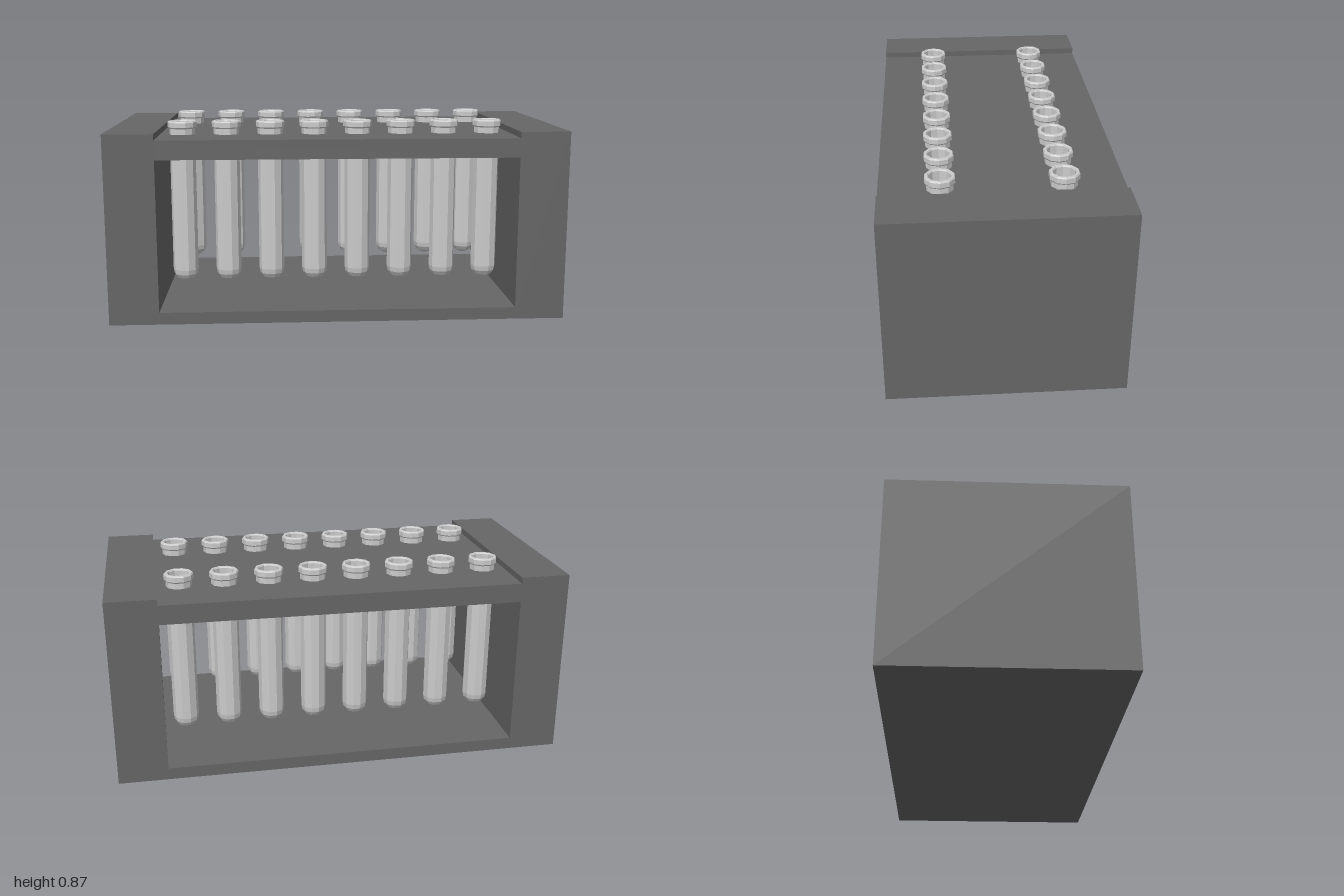
import * as THREE from 'three';

const SIDES = 10;
const COLUMNS = 8;
const SPACING = 0.196;
const ROW_Z = 0.25;
const TUBE_R = 0.057;

const rackMaterial = new THREE.MeshStandardMaterial({ color: 0x666666, flatShading: true });
const glassMaterial = new THREE.MeshStandardMaterial({ color: 0xcccccc, flatShading: true, side: THREE.DoubleSide });

// Calls fn(x, z) at every tube position
function eachTube(fn) {
  for (const z of [ROW_Z, -ROW_Z])
    for (let i = 0; i < COLUMNS; i++) fn((i - (COLUMNS - 1) / 2) * SPACING, z);
}

function addBox(parent, name, w, h, d, x, y) {
  const mesh = new THREE.Mesh(new THREE.BoxGeometry(w, h, d), rackMaterial);
  mesh.name = name;
  mesh.position.set(x, y, 0);
  parent.add(mesh);
}

// Shelf plate with a ten-sided hole for each tube
function shelfGeometry(width, bottom, top) {
  const shape = new THREE.Shape();
  shape.moveTo(-width / 2, -0.5).lineTo(width / 2, -0.5).lineTo(width / 2, 0.5).lineTo(-width / 2, 0.5).closePath();
  eachTube((x, z) => {
    const points = [];
    for (let i = 0; i < SIDES; i++) {
      const a = (-i / SIDES) * Math.PI * 2;
      points.push(new THREE.Vector2(x + TUBE_R * Math.cos(a), z + TUBE_R * Math.sin(a)));
    }
    shape.holes.push(new THREE.Path(points));
  });
  const geometry = new THREE.ExtrudeGeometry(shape, { depth: top - bottom, bevelEnabled: false });
  return geometry.rotateX(-Math.PI / 2).translate(0, bottom, 0);
}

// Hollow tube: round bottom, straight wall, bevelled rim, then down the inside
function tubeGeometry() {
  const bottom = 0.132, inner = 0.047;
  const profile = [];
  const bowl = (r, reverse) => {
    for (let i = 0; i <= 4; i++) {
      const a = ((reverse ? 4 - i : i) / 4) * Math.PI / 2;
      profile.push(new THREE.Vector2(r * Math.sin(a), bottom + TUBE_R - r * Math.cos(a)));
    }
  };
  bowl(TUBE_R, false);
  for (const [r, y] of [[TUBE_R, 0.832], [0.06, 0.832], [0.0645, 0.838], [0.0645, 0.859], [0.06, 0.865], [0.051, 0.865], [inner, 0.859]])
    profile.push(new THREE.Vector2(r, y));
  bowl(inner, true);
  return new THREE.LatheGeometry(profile, SIDES, Math.PI / 2);
}

export function createModel() {
  const model = new THREE.Group();
  model.name = 'testTubeRack';

  // Rack
  const rack = new THREE.Group();
  rack.name = 'rack';
  const innerWidth = 1.566, endWidth = (2 - innerWidth) / 2;
  addBox(rack, 'leftEndBlock', endWidth, 0.833, 1, 1 - endWidth / 2, 0.833 / 2);
  addBox(rack, 'rightEndBlock', endWidth, 0.833, 1, -1 + endWidth / 2, 0.833 / 2);
  addBox(rack, 'base', innerWidth, 0.053, 1, 0, 0.053 / 2);
  const shelf = new THREE.Mesh(shelfGeometry(innerWidth, 0.722, 0.806), rackMaterial);
  shelf.name = 'shelf';
  rack.add(shelf);
  model.add(rack);

  // Two rows of tubes
  const tubes = new THREE.Group();
  tubes.name = 'tubes';
  const geometry = tubeGeometry();
  eachTube((x, z) => {
    const tube = new THREE.Mesh(geometry, glassMaterial);
    tube.name = 'testTube';
    tube.position.set(x, 0, z);
    tubes.add(tube);
  });
  model.add(tubes);

  return model;
}
